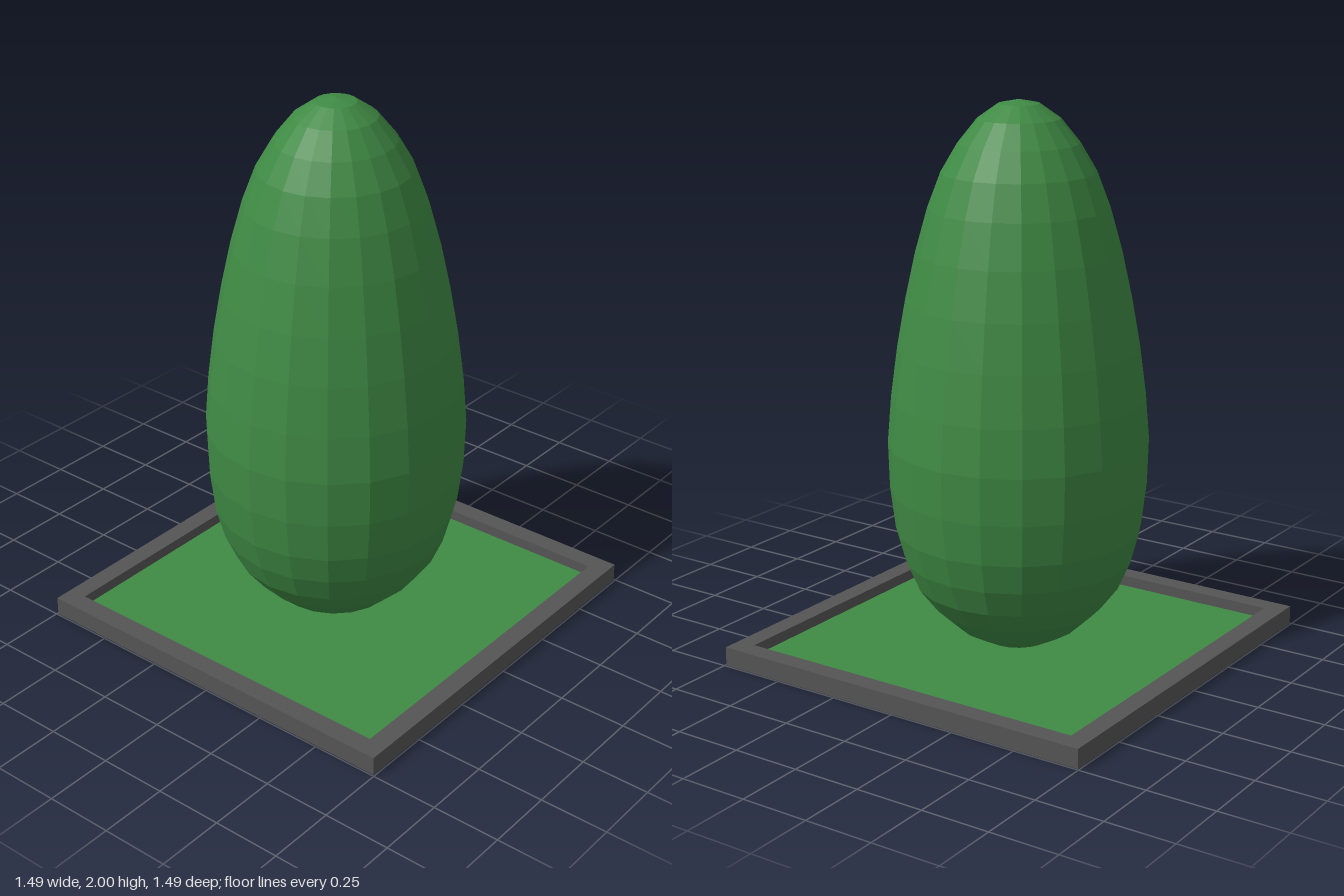
import * as THREE from 'three';

const leafGreen = new THREE.MeshStandardMaterial({ color: 0x3f8a44, flatShading: true });
const stoneGrey = new THREE.MeshStandardMaterial({ color: 0x555555, flatShading: true });

function addMesh(group, name, geometry, material, x = 0, y = 0, z = 0) {
  const mesh = new THREE.Mesh(geometry, material);
  mesh.name = name;
  mesh.position.set(x, y, z);
  group.add(mesh);
  return mesh;
}

function square(PathType, half) {
  return new PathType([
    new THREE.Vector2(-half, -half), new THREE.Vector2(half, -half),
    new THREE.Vector2(half, half), new THREE.Vector2(-half, half),
  ]);
}

export function createModel() {
  const model = new THREE.Group();
  model.name = 'treeInPlanter';

  const half = 0.745, inner = 0.673, height = 0.07, soilTop = 0.03;

  // Raised square kerb
  const kerbShape = square(THREE.Shape, half);
  kerbShape.holes.push(square(THREE.Path, inner));
  const kerbGeometry = new THREE.ExtrudeGeometry(kerbShape, { depth: height, bevelEnabled: false });
  kerbGeometry.rotateX(-Math.PI / 2);
  addMesh(model, 'kerb', kerbGeometry, stoneGrey);

  // Floor under the lawn, closing the kerb from below
  addMesh(model, 'floor', new THREE.BoxGeometry(inner * 2, 0.015, inner * 2), stoneGrey, 0, 0.0075, 0);

  // Sunken lawn
  const lawnDepth = soilTop - 0.015;
  addMesh(model, 'lawn', new THREE.BoxGeometry(inner * 2, lawnDepth, inner * 2), leafGreen,
    0, soilTop - lawnDepth / 2, 0);

  // Egg-shaped faceted foliage: [radius, height] from bottom to top
  const profile = [
    [0, 0.016], [0.12, 0.03], [0.22, 0.085], [0.305, 0.165], [0.37, 0.25], [0.413, 0.35],
    [0.442, 0.46], [0.46, 0.61], [0.465, 0.78], [0.451, 0.95], [0.427, 1.13], [0.397, 1.3],
    [0.36, 1.47], [0.317, 1.625], [0.27, 1.75], [0.212, 1.85], [0.145, 1.934], [0.073, 1.985], [0, 2],
  ].map(([r, y]) => new THREE.Vector2(r, y));
  const foliage = addMesh(model, 'foliage', new THREE.LatheGeometry(profile, 20), leafGreen, -0.003, 0, 0.018);
  foliage.scale.z = 1.02;

  return model;
}
